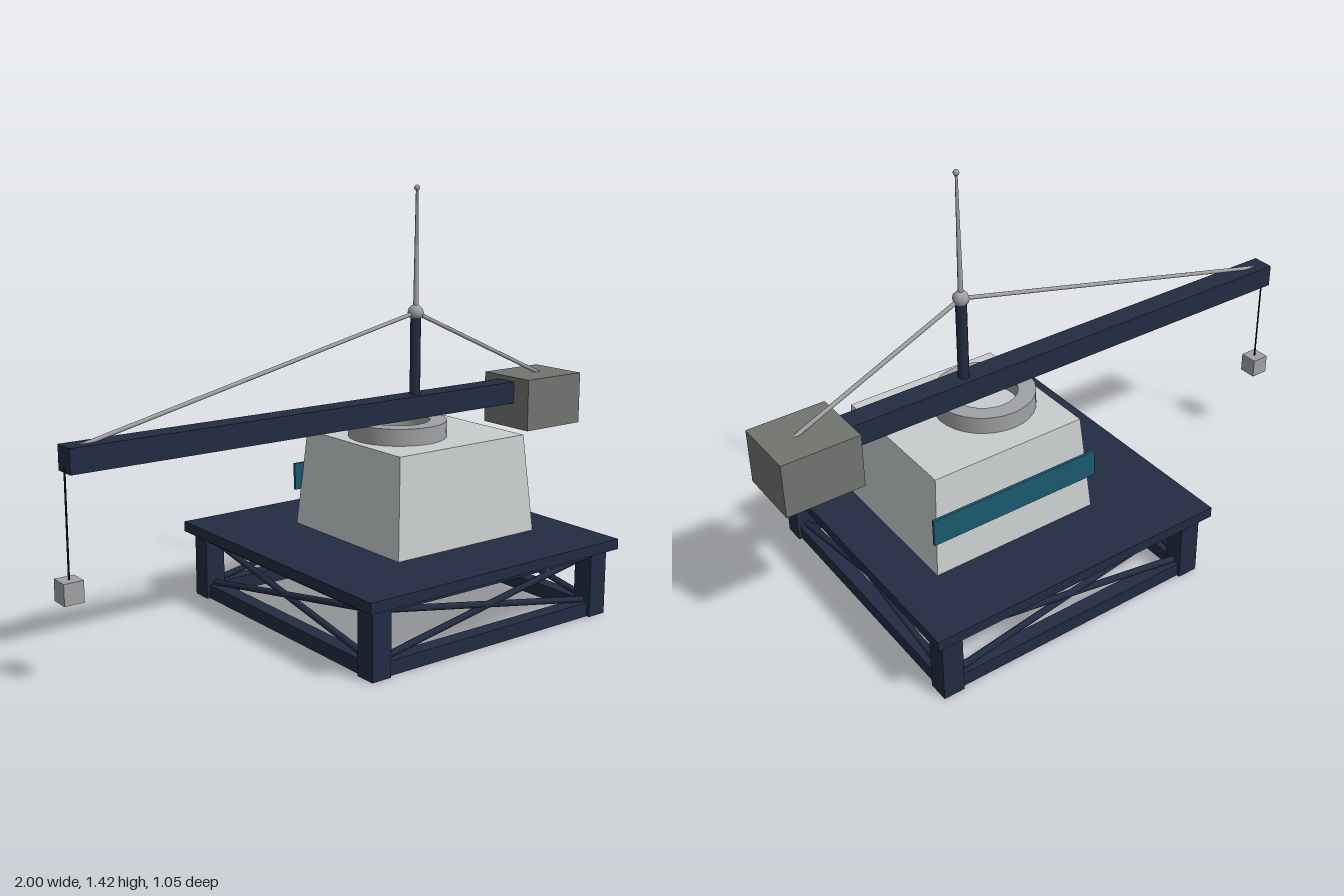
import * as THREE from 'three';
import { toCreasedNormals } from 'three/addons/utils/BufferGeometryUtils.js';

const mat = (name, color) => {
  const m = new THREE.MeshStandardMaterial({ color });
  m.name = name;
  return m;
};

export function createModel() {
  const navy = mat('navy steel', 0x222c42);
  const pale = mat('pale housing', 0xc8cdcd);
  const steel = mat('grey steel', 0xa0a2a5);
  const ballast = mat('dark ballast', 0x727470);
  const teal = mat('teal glass', 0x1b5a70);
  const black = mat('black cable', 0x14161a);

  const root = new THREE.Group();
  root.name = 'platformCrane';

  const add = (parent, name, geometry, material, x = 0, y = 0, z = 0) => {
    const m = new THREE.Mesh(geometry, material);
    m.name = name;
    m.position.set(x, y, z);
    parent.add(m);
    return m;
  };
  // Box given by its minimum and maximum corners
  const box = (parent, name, material, a, b) =>
    add(parent, name, new THREE.BoxGeometry(b[0] - a[0], b[1] - a[1], b[2] - a[2]), material,
      (a[0] + b[0]) / 2, (a[1] + b[1]) / 2, (a[2] + b[2]) / 2);
  // Round bar between two points
  const rod = (parent, name, material, a, b, r0, r1 = r0, sides = 8) => {
    const p = new THREE.Vector3(...a), d = new THREE.Vector3(...b).sub(p);
    const m = add(parent, name, new THREE.CylinderGeometry(r1, r0, d.length(), sides), material);
    m.position.copy(p).addScaledVector(d, 0.5);
    m.quaternion.setFromUnitVectors(new THREE.Vector3(0, 1, 0), d.normalize());
    return m;
  };

  // Platform: deck on a braced square frame
  const base = new THREE.Group();
  base.name = 'platform';
  base.position.x = 0.243;
  root.add(base);
  box(base, 'deck', navy, [-0.523, 0.225, -0.523], [0.523, 0.26, 0.523]);
  for (let i = 0; i < 4; i++) {
    const side = new THREE.Group();
    side.name = 'frameSide';
    side.rotation.y = i * Math.PI / 2;
    base.add(side);
    box(side, 'leg', navy, [0.425, 0, 0.425], [0.496, 0.225, 0.496]);
    box(side, 'lowerBeam', navy, [-0.425, 0, 0.435], [0.425, 0.048, 0.485]);
    box(side, 'upperBeam', navy, [-0.425, 0.2, 0.435], [0.425, 0.225, 0.485]);
    for (const s of [-1, 1])
      rod(side, 'crossBrace', navy, [-0.44 * s, 0.05, 0.46], [0.44 * s, 0.205, 0.46], 0.011);
  }

  // Machinery house: box narrowed towards its roof
  const house = new THREE.BoxGeometry(0.588, 0.33, 0.554);
  const p = house.attributes.position;
  for (let i = 0; i < p.count; i++)
    if (p.getY(i) > 0) p.setXYZ(i, p.getX(i) * 0.91, p.getY(i), p.getZ(i) * 0.896);
  house.computeVertexNormals();
  add(root, 'house', house, pale, 0.318, 0.425, 0);
  box(root, 'windowBand', teal, [0.015, 0.38, -0.281], [0.618, 0.472, -0.272]);

  // Slewing ring
  const profile = [[0.108, 0], [0.165, 0], [0.165, 0.057], [0.108, 0.057], [0.108, 0]]
    .map(([x, y]) => new THREE.Vector2(x, y));
  add(root, 'slewingRing', toCreasedNormals(new THREE.LatheGeometry(profile, 32), 0.6),
    steel, 0.243, 0.589, 0);

  // Boom and counterweight
  box(root, 'boom', navy, [-0.968, 0.645, -0.038], [0.8, 0.722, 0.038]);
  box(root, 'counterweight', ballast, [0.742, 0.556, -0.11], [1, 0.738, 0.11]);

  // Mast, antenna and stay cables
  rod(root, 'mast', navy, [0.317, 0.72, 0], [0.317, 1, 0], 0.018, 0.018, 12);
  add(root, 'mastBall', new THREE.SphereGeometry(0.027, 8, 6), steel, 0.317, 0.998, 0);
  rod(root, 'antenna', steel, [0.317, 1, 0], [0.317, 1.41, 0], 0.009, 0.004);
  add(root, 'antennaTip', new THREE.SphereGeometry(0.01, 8, 6), steel, 0.317, 1.407, 0);
  rod(root, 'frontStay', steel, [0.317, 0.998, 0], [-0.92, 0.715, 0], 0.007);
  rod(root, 'rearStay', steel, [0.317, 0.998, 0], [0.9, 0.734, 0], 0.007);

  // Hoist
  rod(root, 'hoistCable', black, [-0.968, 0.33, 0], [-0.968, 0.66, 0], 0.003, 0.003, 6);
  box(root, 'hookBlock', steel, [-1, 0.264, -0.032], [-0.937, 0.331, 0.032]);

  return root;
}
